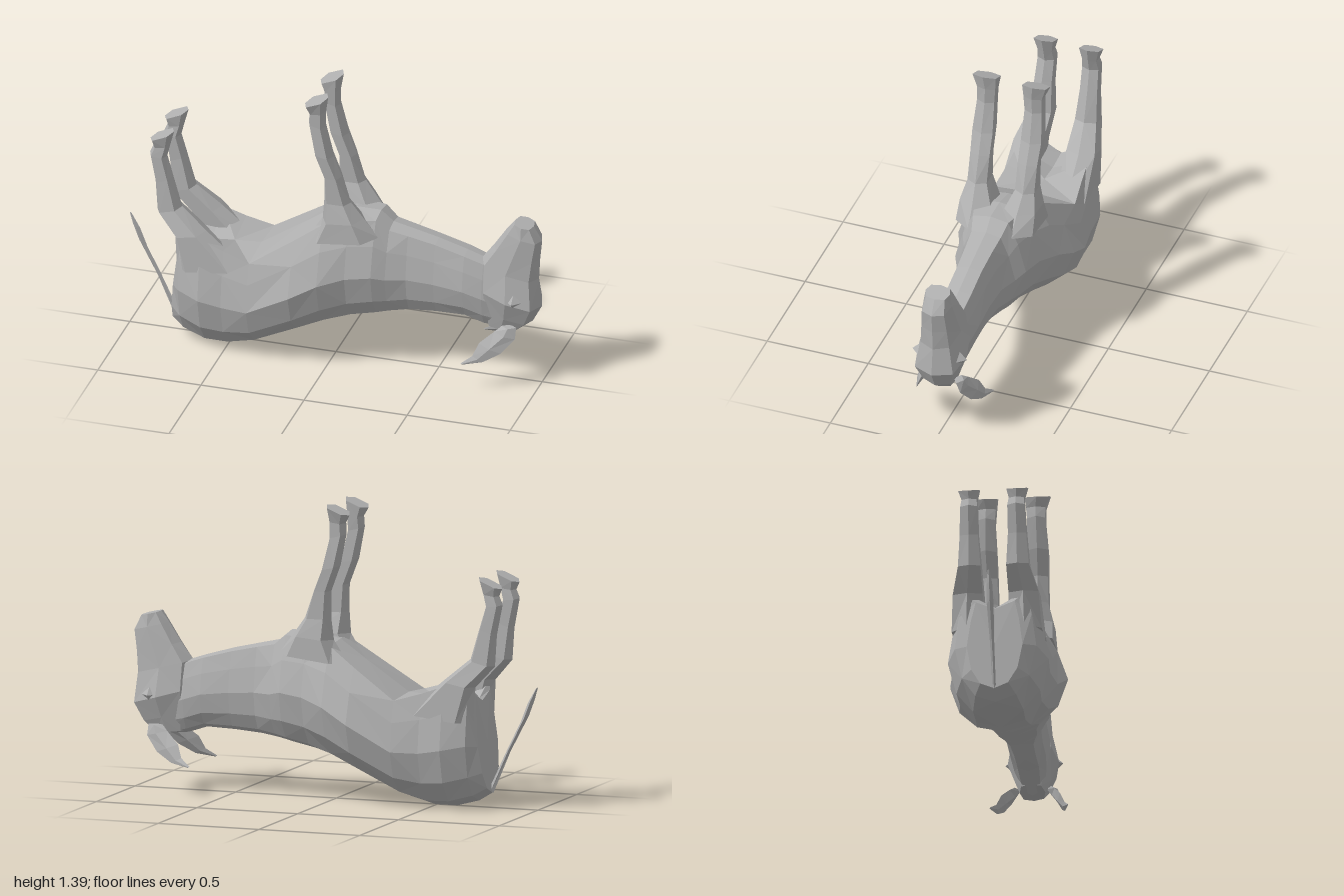
import * as THREE from 'three';

const hide = new THREE.MeshStandardMaterial({ color: 0xb0b0b0, flatShading: true });
hide.name = 'grey hide';

// Skin a list of equal-length rings of [x, y, z], with fans closing both ends.
function loft(name, rings) {
  const tris = [];
  const n = rings[0].length;
  for (let i = 0; i < rings.length - 1; i++) {
    for (let j = 0; j < n; j++) {
      const k = (j + 1) % n;
      const a = rings[i][j], b = rings[i][k], c = rings[i + 1][k], d = rings[i + 1][j];
      if ((i + j) % 2) tris.push([a, b, c], [a, c, d]);
      else tris.push([a, b, d], [b, c, d]);
    }
  }
  const cap = (ring, flip) => {
    const mid = [0, 1, 2].map(q => ring.reduce((s, p) => s + p[q], 0) / n);
    ring.forEach((p, j) => {
      const next = ring[(j + 1) % n];
      tris.push(flip ? [mid, next, p] : [mid, p, next]);
    });
  };
  cap(rings[0], true);
  cap(rings[rings.length - 1], false);

  // Turn every face outward whichever way the rings run
  let volume = 0;
  for (const [a, b, c] of tris) {
    volume += new THREE.Vector3(...a).dot(new THREE.Vector3(...b).cross(new THREE.Vector3(...c)));
  }
  if (volume < 0) tris.forEach(t => t.reverse());
  const geometry = new THREE.BufferGeometry();
  geometry.setAttribute('position', new THREE.Float32BufferAttribute(tris.flat(2), 3));
  geometry.computeVertexNormals();
  const mesh = new THREE.Mesh(geometry, hide);
  mesh.name = name;
  return mesh;
}

// Rounded ring spanning a line from (xa, ya) to (xb, yb) and from z0 to z1.
function ring([xa, ya, xb, yb, z0, z1], sides = 6) {
  return Array.from({ length: sides }, (_, i) => {
    const angle = (i / sides) * Math.PI * 2;
    const square = v => Math.sign(v) * Math.pow(Math.abs(v), 0.7);
    const u = 0.5 - 0.5 * square(Math.cos(angle));
    const v = 0.5 + 0.5 * square(Math.sin(angle)) / square(sides === 6 ? Math.sin(Math.PI / 3) : 1);
    return [xa + (xb - xa) * u, ya + (yb - ya) * u, z0 + (z1 - z0) * v];
  });
}

const mirrorRings = (rings, side) => rings.map(r => r.map(([x, y, z]) => [x, y, z * side]));

// Trunk ring: back below, belly above; groove sinks the belly's centre line.
function trunkRing([x, back, belly, width, bellyWidth, groove, lean]) {
  const h = belly - back;
  const half = [
    [0, 0], [0.5 * width, 0.06], [0.83 * width, 0.22], [width, 0.48],
    [(0.55 + 0.45 * bellyWidth) * width, 0.76], [bellyWidth * width, 0.97],
  ].map(([z, v]) => [x + lean * v, back + h * v, z]);
  const top = [x + lean, belly - groove, 0];
  const other = half.slice(1).reverse().map(([px, py, pz]) => [px, py, -pz]);
  return [...half, top, ...other];
}

export function createModel() {
  const model = new THREE.Group();
  model.name = 'overturnedAnimal';

  // Trunk and neck: x, back y, belly y, half width, belly width ratio, groove, lean
  model.add(loft('trunkAndNeck', [
    [-0.775, 0.08, 0.56, 0.13, 0.7, 0.05, 0.05],
    [-0.71, 0.04, 0.62, 0.19, 0.75, 0.10, 0],
    [-0.60, 0.01, 0.61, 0.235, 0.75, 0.10, 0],
    [-0.49, 0.01, 0.57, 0.23, 0.8, 0.05, 0],
    [-0.36, 0.05, 0.53, 0.25, 0.8, 0, 0],
    [-0.15, 0.15, 0.67, 0.275, 0.6, 0, 0],
    [-0.02, 0.205, 0.76, 0.25, 0.55, 0, 0],
    [0.10, 0.24, 0.79, 0.20, 0.6, 0, 0],
    [0.22, 0.265, 0.79, 0.175, 0.5, 0, 0],
    [0.28, 0.28, 0.74, 0.145, 0.5, 0, 0],
    [0.37, 0.295, 0.72, 0.11, 0.6, 0, 0],
    [0.50, 0.305, 0.69, 0.10, 0.6, 0, 0],
    [0.64, 0.31, 0.65, 0.10, 0.6, 0, 0],
    [0.73, 0.28, 0.62, 0.09, 0.6, 0, 0],
    [0.82, 0.27, 0.56, 0.07, 0.6, 0, 0],
  ].map(trunkRing)));

  // Head from poll to muzzle
  model.add(loft('head', [
    [0.74, 0.29, 0.89, 0.275, -0.06, 0.06],
    [0.72, 0.38, 0.955, 0.325, -0.085, 0.085],
    [0.71, 0.49, 1.0, 0.41, -0.12, 0.12],
    [0.71, 0.62, 0.985, 0.55, -0.09, 0.09],
    [0.77, 0.70, 0.99, 0.65, -0.08, 0.08],
    [0.83, 0.79, 1.0, 0.75, -0.07, 0.07],
    [0.87, 0.84, 0.96, 0.82, -0.06, 0.06],
  ].map(r => ring(r, 8))));

  for (const side of [1, -1]) {
    const prefix = side > 0 ? 'left' : 'right';
    const add = (part, rows, sides) =>
      model.add(loft(prefix + part, mirrorRings(rows.map(r => ring(r, sides)), side)));

    // Front leg from chest to hoof
    add('FrontLeg', [
      [-0.10, 0.66, 0.24, 0.70, 0.02, 0.19],
      [-0.03, 0.77, 0.17, 0.79, 0.035, 0.185],
      [-0.02, 0.87, 0.11, 0.87, 0.07, 0.165],
      [-0.02, 1.00, 0.065, 1.00, 0.07, 0.165],
      [-0.065, 1.12, 0.025, 1.10, 0.07, 0.17],
      [-0.095, 1.27, -0.012, 1.25, 0.075, 0.16],
      [-0.09, 1.32, -0.012, 1.33, 0.07, 0.16],
      [-0.112, 1.36, 0.0, 1.405, 0.065, 0.18],
    ]);

    // Hind leg with thigh, hock and hoof
    add('HindLeg', [
      [-0.73, 0.42, -0.40, 0.46, 0.06, 0.21],
      [-0.74, 0.59, -0.59, 0.62, 0.06, 0.20],
      [-0.83, 0.69, -0.71, 0.72, 0.06, 0.165],
      [-0.84, 0.84, -0.755, 0.87, 0.07, 0.155],
      [-0.867, 0.98, -0.785, 0.97, 0.07, 0.15],
      [-0.85, 1.02, -0.77, 1.03, 0.075, 0.145],
      [-0.865, 1.055, -0.75, 1.105, 0.065, 0.16],
    ]);

    // Ear swept back from the poll
    add('Ear', [
      [0.83, 0.32, 0.90, 0.32, 0.06, 0.11],
      [0.80, 0.295, 0.90, 0.27, 0.085, 0.125],
      [0.735, 0.24, 0.84, 0.20, 0.12, 0.15],
      [0.71, 0.18, 0.76, 0.155, 0.15, 0.165],
      [0.66, 0.145, 0.67, 0.14, 0.178, 0.183],
    ], 4);

    // Brow bump around the eye
    const eye = new THREE.Mesh(new THREE.OctahedronGeometry(0.04), hide);
    eye.name = prefix + 'Eye';
    eye.position.set(0.89, 0.46, 0.095 * side);
    model.add(eye);
  }

  // Thin tail with a broader tuft
  model.add(loft('tail', [
    [-0.78, 0.08, -0.75, 0.08, -0.008, 0.008],
    [-0.865, 0.28, -0.845, 0.28, -0.01, 0.01],
    [-0.955, 0.45, -0.915, 0.42, -0.016, 0.016],
    [-0.985, 0.53, -0.95, 0.51, -0.014, 0.014],
    [-1.0, 0.585, -0.99, 0.58, -0.005, 0.005],
  ].map(r => ring(r, 4))));

  return model;
}
